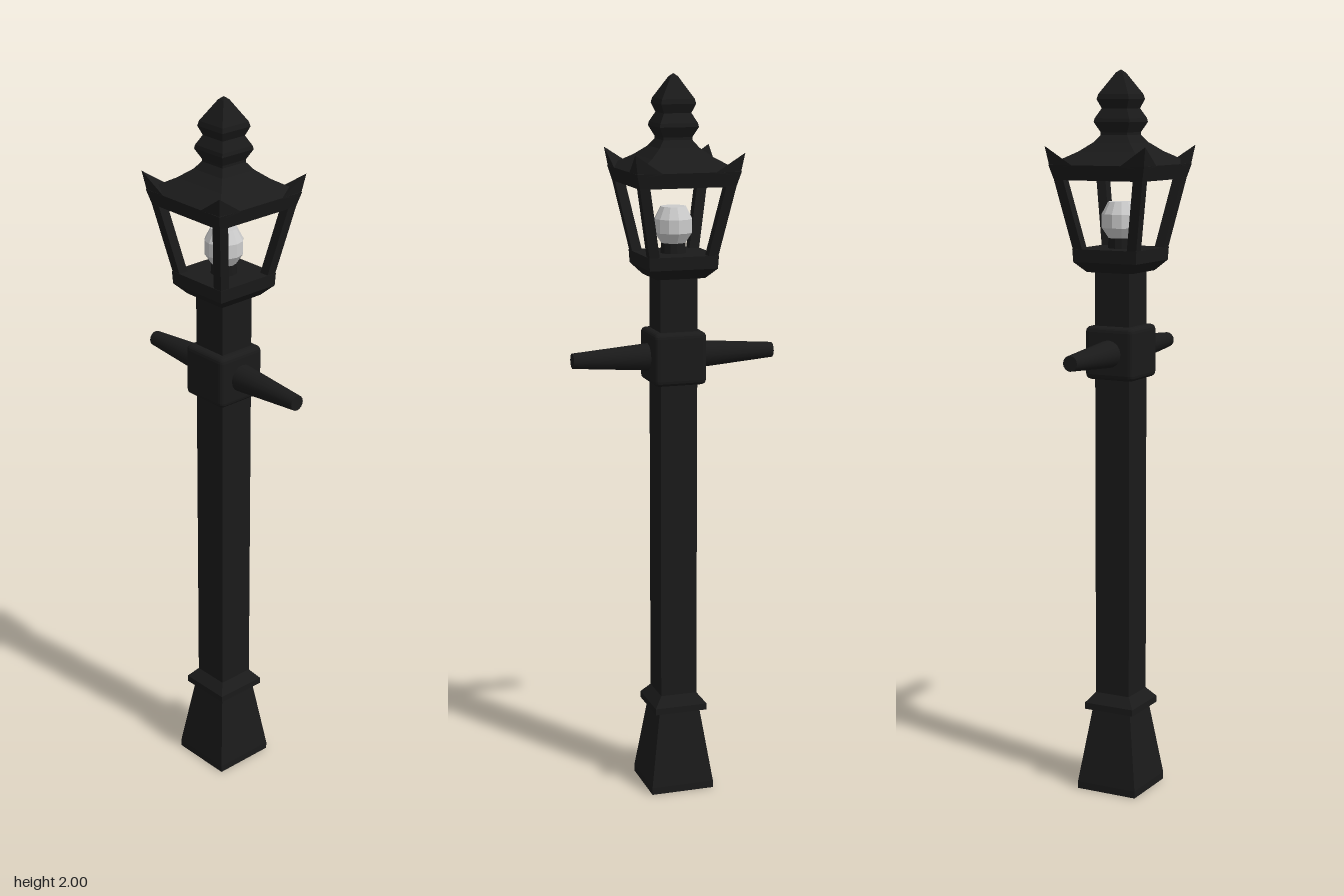
import * as THREE from 'three';
import { RoundedBoxGeometry } from 'three/addons/geometries/RoundedBoxGeometry.js';
import { ConvexGeometry } from 'three/addons/geometries/ConvexGeometry.js';

const iron = new THREE.MeshStandardMaterial({ color: 0x1a1a1a, flatShading: true });
const ironSmooth = new THREE.MeshStandardMaterial({ color: 0x1a1a1a });
const grey = new THREE.MeshStandardMaterial({ color: 0xcccccc, flatShading: true });

export function createModel() {
  const group = new THREE.Group();

  function add(name, geometry, material = iron) {
    const mesh = new THREE.Mesh(geometry, material);
    mesh.name = name;
    group.add(mesh);
    return mesh;
  }

  // Square section turned from a profile of [half width, height], bottom to top
  function square(name, profile) {
    const pts = profile.map(([w, y]) => new THREE.Vector2(w * Math.SQRT2, y));
    return add(name, new THREE.LatheGeometry(pts, 4, Math.PI / 4));
  }

  // Round section turned from a profile of [radius, height]
  function round(name, profile, sides, material) {
    const pts = profile.map(([r, y]) => new THREE.Vector2(r, y));
    return add(name, new THREE.LatheGeometry(pts, sides), material);
  }

  function hull(points) {
    return new ConvexGeometry(points.map((p) => new THREE.Vector3(...p)));
  }

  // Flared foot, collar and shaft
  square('base', [[0, 0], [0.09, 0], [0.09, 0.02], [0.058, 0.235], [0, 0.235]]);
  square('collar', [[0, 0.232], [0.075, 0.232], [0.075, 0.25], [0.052, 0.278], [0, 0.278]]);
  square('post', [[0.052, 0.27], [0.052, 1.47]]);

  // Cross block with a tapered ladder arm to the front and back
  add('crossBlock', new RoundedBoxGeometry(0.148, 0.146, 0.148, 2, 0.015)).position.y = 1.243;
  for (const s of [1, -1]) {
    const arm = add(s > 0 ? 'frontArm' : 'backArm',
      new THREE.CylinderGeometry(0.021, 0.038, 0.215, 16), ironSmooth);
    arm.rotation.x = s * Math.PI / 2;
    arm.position.set(0, 1.243, s * 0.1775);
  }

  // Lantern tray
  square('lanternTray', [[0, 1.462], [0.068, 1.462], [0.095, 1.49], [0.097, 1.525], [0, 1.525]]);

  // Bulb and its socket
  round('bulbSocket', [[0.036, 1.52], [0.033, 1.56], [0, 1.56]], 12);
  round('bulb', [[0, 1.55], [0.032, 1.55], [0.052, 1.58], [0.052, 1.617], [0.035, 1.65], [0, 1.65]], 12, grey);

  // Sloping corner bars and the upturned roof tips above them
  const bar = (w, y) => [[w, y, w], [w - 0.028, y, w], [w, y, w - 0.028], [w - 0.028, y, w - 0.028]];
  const barGeometry = hull([...bar(0.094, 1.515), ...bar(0.139, 1.745)]);
  const tipGeometry = hull([
    [0.15, 1.8, 0.15], [0.07, 1.748, 0.143], [0.143, 1.748, 0.07],
    [0.122, 1.755, 0.122], [0.14, 1.74, 0.14],
  ]);
  for (let i = 0; i < 4; i++) {
    add('cornerBar', barGeometry).rotation.y = i * Math.PI / 2;
    add('roofTip', tipGeometry).rotation.y = i * Math.PI / 2;
  }

  // Hollow hipped roof: inside surface, eave, then outside surface
  square('roof', [
    [0, 1.8], [0.05, 1.79], [0.108, 1.745], [0.106, 1.71], [0.132, 1.71],
    [0.143, 1.75], [0.085, 1.784], [0.055, 1.808], [0.04, 1.828],
  ]);

  // Stepped finial
  square('finial', [
    [0.04, 1.82], [0.04, 1.835], [0.054, 1.862], [0.052, 1.872], [0.038, 1.898],
    [0.048, 1.922], [0.045, 1.935], [0.01, 1.992], [0, 2],
  ]);

  return group;
}
